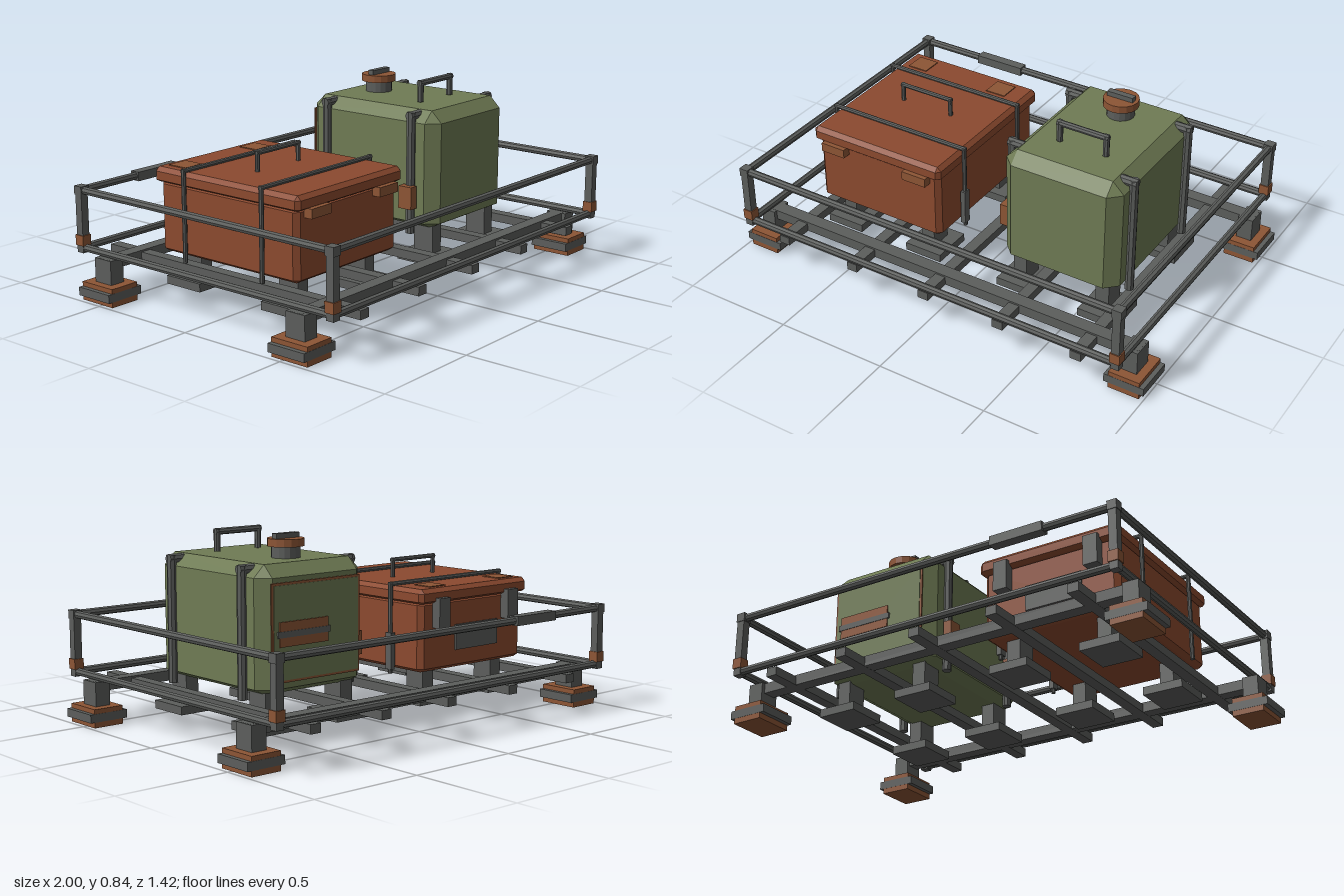
import * as THREE from 'three';
import { ConvexGeometry } from 'three/addons/geometries/ConvexGeometry.js';

export function createModel() {
  const model = new THREE.Group();
  const mat = (name, color) => {
    const m = new THREE.MeshStandardMaterial({ color, flatShading: true });
    m.name = name;
    return m;
  };
  const steel = mat('steel grey', 0x5c5e5c);
  const rust = mat('crate rust', 0x8c4a2f);
  const trim = mat('trim brown', 0x8d5535);
  const olive = mat('tank olive', 0x6f7b54);

  const add = (name, geo, m, x = 0, y = 0, z = 0) => {
    const mesh = new THREE.Mesh(geo, m);
    mesh.name = name;
    mesh.position.set(x, y, z);
    model.add(mesh);
    return mesh;
  };
  const box = (name, m, w, h, d, x, y, z) => add(name, new THREE.BoxGeometry(w, h, d), m, x, y, z);

  // Box with every edge cut; top and bottom cuts may differ in height
  const chamferBox = (name, m, w, h, d, c, top, bottom, x, y, z) => {
    const pts = [];
    for (const sx of [-1, 1]) for (const sy of [-1, 1]) for (const sz of [-1, 1]) {
      const X = w / 2, Y = h / 2, Z = d / 2, cy = sy > 0 ? top : bottom;
      pts.push(new THREE.Vector3(sx * X, sy * (Y - cy), sz * (Z - c)));
      pts.push(new THREE.Vector3(sx * (X - c), sy * Y, sz * (Z - c)));
      pts.push(new THREE.Vector3(sx * (X - c), sy * (Y - cy), sz * Z));
    }
    return add(name, new ConvexGeometry(pts), m, x, y, z);
  };

  // Chain of straight round bars through the given points
  const bars = (name, m, r, points) => {
    for (let i = 1; i < points.length; i++) {
      const a = new THREE.Vector3(...points[i - 1]);
      const b = new THREE.Vector3(...points[i]);
      const dir = b.clone().sub(a);
      const mesh = add(name, new THREE.CylinderGeometry(r, r, dir.length() + r * 1.6, 8), m);
      mesh.position.copy(a).add(b).multiplyScalar(0.5);
      mesh.quaternion.setFromUnitVectors(new THREE.Vector3(0, 1, 0), dir.normalize());
    }
  };

  // Deck: two long beams and five cross slats
  for (const s of [-1, 1]) box('deckBeam', steel, 1.88, 0.045, 0.06, 0, 0.162, s * 0.53);
  for (let i = -2; i <= 2; i++) box('deckSlat', steel, 0.05, 0.038, 1.38, i * 0.364, 0.158, 0);

  // Guard rails, corner posts, clamps and feet
  const RX = 0.91, RZ = 0.685;
  for (const y of [0.2, 0.45]) {
    bars('guardRail', steel, 0.017, [[-RX, y, -RZ], [RX, y, -RZ], [RX, y, RZ], [-RX, y, RZ], [-RX, y, -RZ]]);
  }
  for (const sx of [-1, 1]) for (const sz of [-1, 1]) {
    box('cornerPost', steel, 0.036, 0.28, 0.036, sx * RX, 0.32, sz * RZ);
    box('cornerCap', steel, 0.042, 0.038, 0.042, sx * RX, 0.45, sz * RZ);
    box('cornerClamp', trim, 0.045, 0.045, 0.045, sx * RX, 0.234, sz * RZ);
    box('footPad', steel, 0.18, 0.036, 0.182, sx * RX, 0.042, sz * 0.53);
    box('footBlock', trim, 0.14, 0.08, 0.18, sx * RX, 0.04, sz * 0.53);
    box('footStem', steel, 0.07, 0.108, 0.095, sx * RX, 0.13, sz * 0.53);
  }
  box('railPlate', steel, 0.24, 0.04, 0.046, -0.485, 0.45, -RZ);

  // Mounting feet below both containers
  for (const x of [-0.652, -0.23, 0.242, 0.638]) for (const z of [-0.265, 0.265]) {
    box('mountPad', steel, 0.18, 0.036, 0.19, x, 0.082, z);
    box('mountStem', steel, 0.062, 0.13, 0.1, x, 0.16, z);
  }

  // Storage crate with a lid
  const CX = -0.44;
  chamferBox('crateBody', rust, 0.63, 0.3, 0.75, 0.022, 0.01, 0.015, CX, 0.36, 0);
  box('crateSeal', steel, 0.6, 0.02, 0.72, CX, 0.508, 0);
  chamferBox('crateLid', rust, 0.66, 0.064, 0.79, 0.018, 0.018, 0.01, CX, 0.539, 0);
  for (const s of [-1, 1]) {
    const x = CX + s * 0.212;
    box('crateLatch', trim, 0.118, 0.04, 0.04, x, 0.495, 0.394);
    box('crateHinge', steel, 0.065, 0.13, 0.045, x, 0.465, -0.396);
    box('lidPlate', trim, 0.095, 0.006, 0.095, x - 0.02, 0.572, -0.305);
    // Strap over the lid and down both sides
    const z = s * 0.212;
    bars('crateStrap', steel, 0.01, [
      [CX - 0.337, 0.2, z], [CX - 0.337, 0.58, z], [CX + 0.337, 0.58, z], [CX + 0.337, 0.2, z]]);
    box('strapBuckle', steel, 0.022, 0.16, 0.035, CX + 0.337, 0.29, z);
  }
  box('crateBackPlate', steel, 0.26, 0.11, 0.01, CX - 0.02, 0.345, -0.379);
  bars('crateHandle', steel, 0.01, [
    [CX - 0.125, 0.57, 0], [CX - 0.125, 0.648, 0], [CX + 0.125, 0.648, 0], [CX + 0.125, 0.57, 0]]);

  // Liquid tank with chamfered edges
  const TX = 0.437;
  chamferBox('tankBody', olive, 0.545, 0.52, 0.7, 0.052, 0.05, 0.026, TX, 0.475, 0);
  box('tankPanelFrame', trim, 0.46, 0.4, 0.006, TX, 0.465, -0.353);
  box('tankPanel', olive, 0.44, 0.38, 0.008, TX, 0.465, -0.355);
  box('tankBadge', trim, 0.25, 0.1, 0.008, TX + 0.07, 0.46, -0.361);
  box('tankBadgeBar', steel, 0.27, 0.025, 0.009, TX + 0.07, 0.46, -0.363);

  // Tank side brackets, hooked over the top edges
  for (const sz of [-1, 1]) {
    for (const sx of [-1, 1]) {
      const x = TX + sx * 0.283, z = sz * 0.235;
      bars('tankBracket', steel, 0.02, [[x, 0.21, z], [x, 0.715, z], [TX + sx * 0.24, 0.715, z]]);
    }
    box('tankBracketClamp', trim, 0.04, 0.1, 0.068, 0.132, 0.36, sz * 0.235);
  }

  // Filler neck, cap and carrying handle
  const cyl = (r, h) => new THREE.CylinderGeometry(r, r, h, 16);
  add('fillerNeck', cyl(0.06, 0.055), steel, TX, 0.757, -0.165);
  add('fillerCap', cyl(0.077, 0.032), trim, TX, 0.798, -0.165);
  box('capGrip', steel, 0.12, 0.022, 0.028, TX, 0.824, -0.165);
  bars('tankHandle', steel, 0.014, [
    [TX - 0.108, 0.75, 0.153], [TX - 0.108, 0.822, 0.153], [TX + 0.108, 0.822, 0.153], [TX + 0.108, 0.75, 0.153]]);

  return model;
}
